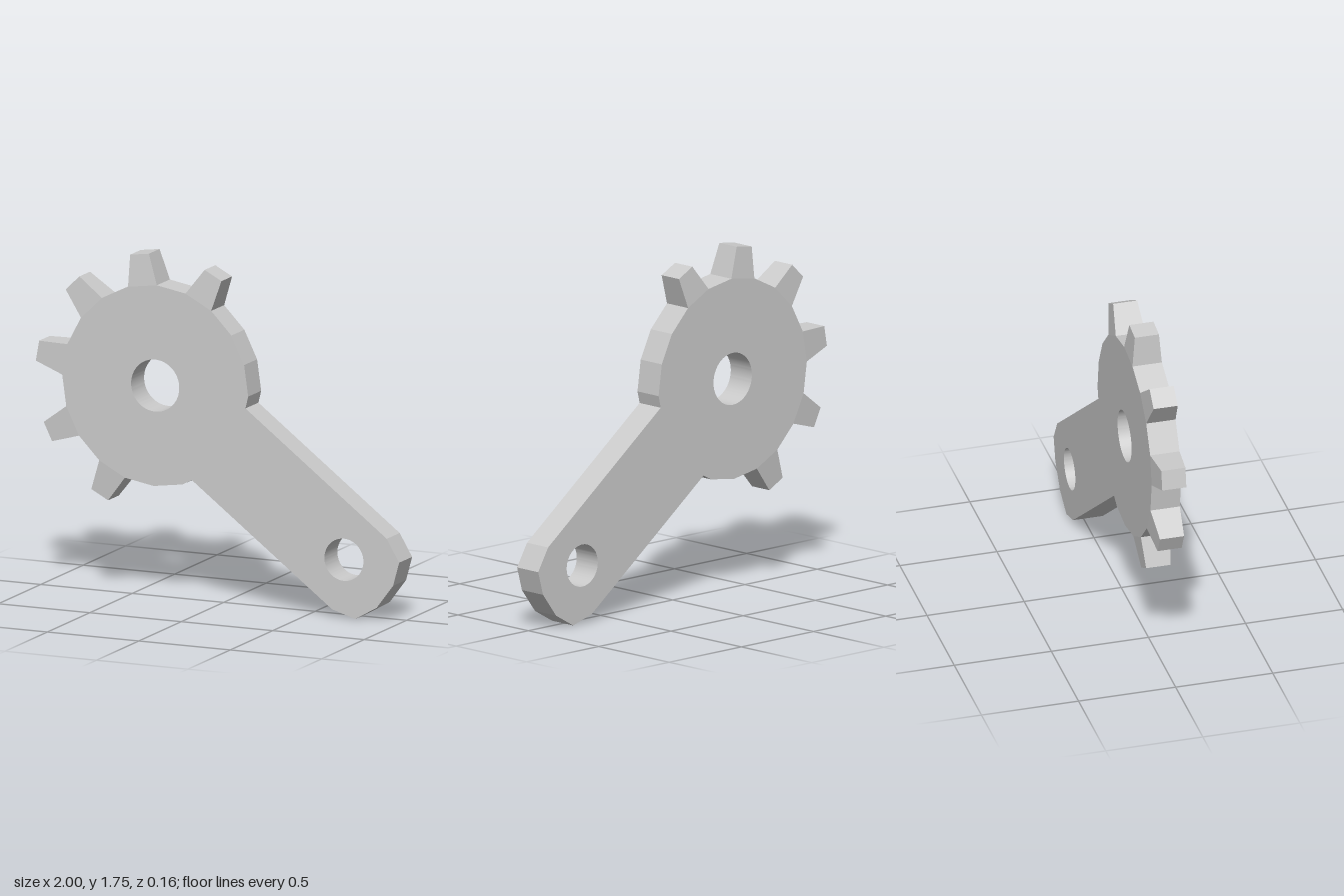
import * as THREE from 'three';
import { toCreasedNormals } from 'three/addons/utils/BufferGeometryUtils.js';

const HUB = [-0.34, 1.085], HUB_R = 0.51, TIP_R = 0.664, HALF = 0.0755, TIP_HALF = 0.062;

// point at an angle (degrees) and radius around the hub
function polar(deg, r) {
  const a = THREE.MathUtils.degToRad(deg);
  return [HUB[0] + r * Math.cos(a), HUB[1] + r * Math.sin(a)];
}

function circleHole(x, y, r) {
  return new THREE.Path().absarc(x, y, r, 0, Math.PI * 2, true);
}

// tapered tooth standing on one side of the 20-sided hub
function toothGeometry(mid) {
  const geo = new THREE.BoxGeometry(1, 1, 1);
  const p = geo.attributes.position;
  for (let i = 0; i < p.count; i++) {
    const tip = p.getY(i) > 0;
    const spread = (tip ? 4.5 : 9) * -Math.sign(p.getX(i));
    const [x, y] = polar(mid + spread, tip ? TIP_R : HUB_R);
    p.setXYZ(i, x, y, Math.sign(p.getZ(i)) * (tip ? TIP_HALF : HALF));
  }
  geo.computeVertexNormals();
  return geo;
}

export function createModel() {
  const model = new THREE.Group();
  model.name = 'gearLever';
  const material = new THREE.MeshStandardMaterial({ color: 0xcccccc });

  // flat plate: faceted hub running into the lever arm
  const outline = [];
  for (let deg = -1; deg <= 287; deg += 18) outline.push(polar(deg, HUB_R));
  outline.push(
    [-0.14, 0.625],
    [0.63, 0.04], [0.757, 0.002], [0.875, 0.07], [0.965, 0.19], [0.998, 0.31], [0.93, 0.425],
    [0.155, 1.015]
  );
  const shape = new THREE.Shape(outline.map(([x, y]) => new THREE.Vector2(x, y)));
  shape.holes.push(circleHole(HUB[0], HUB[1], 0.132), circleHole(0.695, 0.297, 0.107));
  const plate = new THREE.ExtrudeGeometry(shape, { depth: HALF * 2, bevelEnabled: false, curveSegments: 48 });
  plate.translate(0, 0, -HALF);
  const body = new THREE.Mesh(toCreasedNormals(plate, 0.2), material);
  body.name = 'hubAndArm';
  model.add(body);

  // six teeth around the side away from the arm
  for (let i = 0; i < 6; i++) {
    const tooth = new THREE.Mesh(toothGeometry(62 + i * 36), material);
    tooth.name = `tooth${i + 1}`;
    model.add(tooth);
  }

  // very slight twist of the whole plate
  model.rotation.y = -0.007;
  return model;
}
